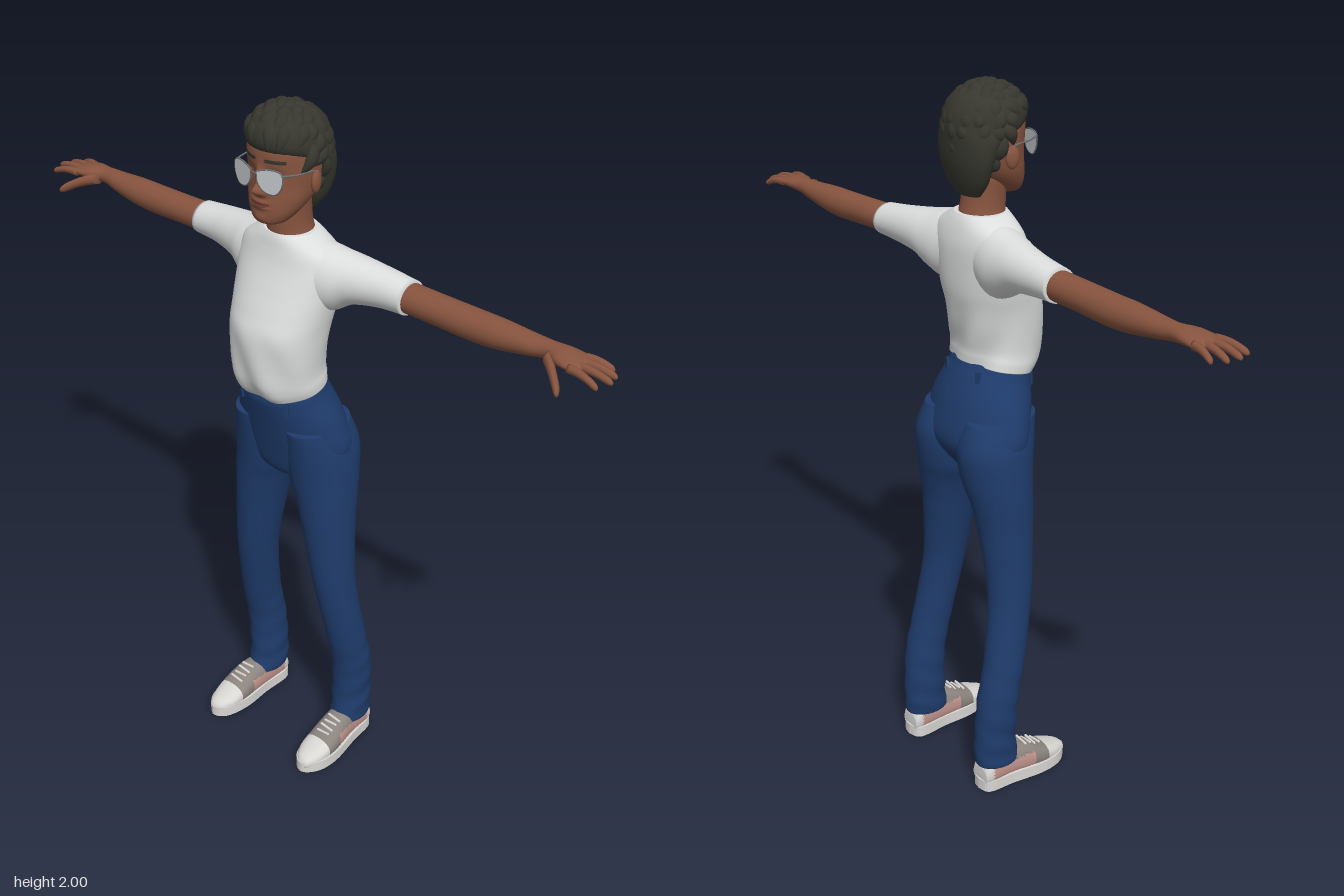
import * as THREE from 'three';
import { mergeGeometries, mergeVertices } from 'three/addons/utils/BufferGeometryUtils.js';

const V = (x, y, z) => new THREE.Vector3(x, y, z);
const clamp = THREE.MathUtils.clamp;
const bump = (d, w) => Math.exp(-((d / w) ** 2));

const material = (name, color) => {
  const m = new THREE.MeshStandardMaterial({ color });
  m.name = name;
  return m;
};

// Smooth in-between row (Catmull-Rom) at position u of a list of rows
function sampleRow(rows, u) {
  const n = rows.length - 1, i = Math.min(Math.floor(u), n - 1), t = u - i;
  const [a, b, c, d] = [-1, 0, 1, 2].map((k) => rows[clamp(i + k, 0, n)]);
  return b.map((_, k) => b[k] + 0.5 * t * (c[k] - a[k] + t * (2 * a[k] - 5 * b[k] + 4 * c[k] - d[k]
    + t * (3 * (b[k] - c[k]) + d[k] - a[k]))));
}

// Closed skin over oval sections; row = [position on axis, min, max, min, max] of the other two axes
function loft(axis, rows, { segs = 32, steps = 6, power = 1, rule } = {}) {
  const pos = [], index = [], count = (rows.length - 1) * steps;
  const put = (t, a, b) => {
    const p = axis === 'y' ? V(a, t, b) : axis === 'x' ? V(t, a, b) : V(a, b, t);
    if (rule) rule(p);
    pos.push(p.x, p.y, p.z);
  };
  const bend = (v) => Math.sign(v) * Math.abs(v) ** power;
  for (let i = 0; i <= count; i++) {
    const [t, a0, a1, b0, b1] = sampleRow(rows, i / steps);
    for (let j = 0; j < segs; j++) {
      const q = (j / segs) * Math.PI * 2;
      put(t, (a0 + a1) / 2 + bend(Math.cos(q)) * (a1 - a0) / 2, (b0 + b1) / 2 + bend(Math.sin(q)) * (b1 - b0) / 2);
    }
  }
  for (const r of [rows[0], rows[rows.length - 1]]) put(r[0], (r[1] + r[2]) / 2, (r[3] + r[4]) / 2);
  const flip = (axis === 'y') !== (rows[0][0] > rows[rows.length - 1][0]);
  const tri = (a, b, c) => (flip ? index.push(a, c, b) : index.push(a, b, c));
  const end = (count + 1) * segs;
  for (let j = 0; j < segs; j++) {
    const k = (j + 1) % segs;
    for (let i = 0; i < count; i++) {
      const p = i * segs;
      tri(p + j, p + k, p + segs + j);
      tri(p + k, p + segs + k, p + segs + j);
    }
    tri(end, k, j);
    tri(end + 1, count * segs + j, count * segs + k);
  }
  const g = new THREE.BufferGeometry();
  g.setAttribute('position', new THREE.Float32BufferAttribute(pos, 3));
  g.setIndex(index);
  g.computeVertexNormals();
  return g;
}

// Sort triangles into material groups by their centre
function paint(g, count, pick) {
  const buckets = Array.from({ length: count }, () => []), p = g.attributes.position, ix = g.index.array;
  for (let i = 0; i < ix.length; i += 3) {
    const c = V(0, 0, 0), f = [ix[i], ix[i + 1], ix[i + 2]];
    f.forEach((v) => c.add(new THREE.Vector3().fromBufferAttribute(p, v)));
    buckets[pick(c.divideScalar(3))].push(...f);
  }
  g.setIndex(buckets.flat());
  let start = 0;
  buckets.forEach((b, m) => { g.addGroup(start, b.length, m); start += b.length; });
  return g;
}

function mirrored(source) {
  const g = source.index ? source.clone() : mergeVertices(source);
  g.scale(-1, 1, 1);
  const ix = g.index.array;
  for (let i = 0; i < ix.length; i += 3) [ix[i + 1], ix[i + 2]] = [ix[i + 2], ix[i + 1]];
  return g;
}

const tube = (points, r, closed = false) =>
  new THREE.TubeGeometry(new THREE.CatmullRomCurve3(points, closed), closed ? 40 : 12, r, 6, closed);
const sym = (rows) => rows.map(([y, rx, zb, zf]) => [y, -rx, rx, zb, zf]);

export function createModel() {
  const model = new THREE.Group();
  model.name = 'person';
  const skin = material('skin', 0x87543f), lip = material('lips', 0x6e3a32), hair = material('hair', 0x37372f);
  const white = material('shirt white', 0xdcdedd), denim = material('trouser navy', 0x1f3c6c);
  const lensGrey = material('lens silver', 0xc6cacd), metal = material('frame grey', 0x6d6f72);
  const rubber = material('shoe white', 0xd9d7d4), fabric = material('shoe grey', 0x8b837d), pink = material('shoe pink', 0xc2968e);
  const add = (name, g, mat) => {
    const m = new THREE.Mesh(g, mat);
    m.name = name;
    model.add(m);
  };
  const pair = (name, g, mat) => {
    add('left' + name, g, mat);
    add('right' + name, mirrored(g), mat);
  };

  // The waist dips toward the front
  const tilt = (p) => { p.y -= 0.23 * (p.z - 0.03) * clamp(1 - Math.abs(p.y - 1.236) / 0.12, 0, 1); };

  // Shirt
  add('shirt', loft('y', sym([
    [1.236, 0.127, -0.067, 0.121], [1.26, 0.128, -0.067, 0.138], [1.3, 0.126, -0.068, 0.15], [1.4, 0.134, -0.085, 0.155],
    [1.46, 0.142, -0.096, 0.135], [1.52, 0.15, -0.1, 0.108], [1.58, 0.155, -0.1, 0.082], [1.62, 0.142, -0.093, 0.07],
    [1.648, 0.1, -0.084, 0.064], [1.664, 0.069, -0.075, 0.058]]), {
    segs: 56, power: 0.92, rule: (p) => {
      p.z += 0.005 * Math.sin(p.x * 55 + p.y * 24) * clamp((1.44 - p.y) / 0.12, 0, 1);
      tilt(p);
    } }), white);
  pair('Sleeve', loft('x', [
    [0.04, 1.47, 1.65, -0.085, 0.05], [0.1, 1.455, 1.646, -0.098, 0.055], [0.15, 1.472, 1.637, -0.101, 0.045],
    [0.2, 1.5, 1.629, -0.101, 0.024], [0.28, 1.514, 1.618, -0.1, 0.004], [0.356, 1.519, 1.608, -0.1, -0.002]]), white);

  // Arms, palms, fingers
  pair('Arm', loft('x', [
    [0.32, 1.525, 1.603, -0.093, -0.008], [0.45, 1.522, 1.6, -0.094, -0.011], [0.55, 1.518, 1.598, -0.096, -0.014],
    [0.62, 1.522, 1.597, -0.095, -0.017], [0.7, 1.535, 1.592, -0.09, -0.026], [0.755, 1.545, 1.59, -0.085, -0.034],
    [0.8, 1.55, 1.589, -0.093, -0.014], [0.845, 1.555, 1.58, -0.096, -0.008], [0.862, 1.56, 1.573, -0.088, -0.016]],
  { segs: 24 }), skin);
  const finger = (a, b, r) => loft('x', [0, 0.3, 0.6, 0.9, 1].map((t) => {
    const c = a.clone().lerp(b, t), k = r * (t === 1 ? 0.35 : 1 - 0.3 * t);
    c.y += 0.006 * Math.sin(t * Math.PI);
    return [c.x, c.y - k, c.y + k, c.z - k, c.z + k];
  }), { segs: 10, steps: 3 });
  const tips = [[0.905, 1.552, -0.1], [0.929, 1.554, -0.073], [0.937, 1.556, -0.04], [0.922, 1.553, -0.002]];
  pair('Fingers', mergeGeometries([
    ...tips.map((t, i) => finger(V(0.835, 1.567, -0.084 + i * 0.0225), V(...t), 0.0115)),
    finger(V(0.765, 1.562, -0.035), V(0.848, 1.527, 0.04), 0.017)]), skin);

  // Trousers
  add('trouserSeat', loft('y', sym([
    [0.935, 0.04, -0.05, 0.03], [0.965, 0.12, -0.09, 0.062], [1.04, 0.182, -0.135, 0.08], [1.13, 0.167, -0.12, 0.1],
    [1.2, 0.137, -0.088, 0.115], [1.225, 0.129, -0.073, 0.117], [1.25, 0.122, -0.06, 0.112]]), { segs: 48, rule: tilt }), denim);
  pair('TrouserLeg', loft('y', [
    [0.078, 0.12, 0.22, -0.154, -0.02], [0.09, 0.117, 0.222, -0.157, -0.02], [0.15, 0.115, 0.221, -0.158, -0.03],
    [0.28, 0.116, 0.226, -0.148, -0.026], [0.41, 0.112, 0.222, -0.12, 0.001], [0.6, 0.09, 0.207, -0.092, 0.037],
    [0.785, 0.053, 0.2, -0.102, 0.053], [0.88, 0.028, 0.198, -0.118, 0.06], [0.95, 0.002, 0.194, -0.135, 0.067],
    [1.04, -0.002, 0.185, -0.145, 0.079], [1.12, 0.02, 0.16, -0.118, 0.092]], {
    rule: (p) => {
      const k = clamp((0.5 - p.y) / 0.3, 0, 1) * clamp((p.y - 0.08) / 0.05, 0, 1);
      p.x += 0.003 * k * Math.sin(p.y * 75 + p.z * 30);
    } }), denim);
  const loop = (x, y, z, ry) => new THREE.BoxGeometry(0.012, 0.048, 0.008).rotateY(ry).translate(x, y, z);
  pair('BeltLoops', mergeGeometries([loop(0.08, 1.2, 0.098, 0.5), loop(0.065, 1.225, -0.072, -0.35)]), denim);

  // Shoes
  const outline = new THREE.SplineCurve([
    [0.168, -0.155], [0.205, -0.14], [0.215, -0.06], [0.231, 0.04], [0.222, 0.11], [0.185, 0.15],
    [0.145, 0.125], [0.128, 0.05], [0.132, -0.04], [0.132, -0.135], [0.168, -0.155]].map(([x, z]) => new THREE.Vector2(x, -z)));
  pair('Sole', new THREE.ExtrudeGeometry(new THREE.Shape(outline.getPoints(60)), { depth: 0.034, bevelEnabled: false })
    .rotateX(-Math.PI / 2), rubber);
  pair('ShoeUpper', paint(loft('z', [
    [-0.15, 0.14, 0.2, 0.02, 0.07], [-0.13, 0.133, 0.208, 0.01, 0.1], [-0.06, 0.132, 0.212, 0.01, 0.115],
    [0, 0.132, 0.222, 0.01, 0.105], [0.05, 0.132, 0.227, 0.01, 0.082], [0.1, 0.137, 0.221, 0.01, 0.062],
    [0.135, 0.155, 0.207, 0.01, 0.048], [0.147, 0.172, 0.195, 0.015, 0.035]], { power: 0.85 }), 3,
  (c) => (c.z > 0.07 || c.z < -0.125 ? 0 : c.y < 0.078 && c.z < 0.02 ? 2 : 1)), [rubber, fabric, pink]);
  pair('Laces', mergeGeometries([0, 1, 2, 3].map((i) => new THREE.CapsuleGeometry(0.004, 0.04, 3, 8)
    .rotateZ(Math.PI / 2 + (i % 2 ? 0.12 : -0.12)).translate(0.179, 0.106 - i * 0.007, -0.004 + i * 0.017))), rubber);

  // Neck and head, with nose, sockets, chin and mouth pushed from the surface
  add('neck', loft('y', sym([[1.62, 0.075, -0.075, 0.055], [1.66, 0.061, -0.068, 0.056],
    [1.7, 0.057, -0.06, 0.058], [1.76, 0.06, -0.055, 0.06]])), skin);
  add('head', paint(loft('y', sym([
    [1.702, 0.02, 0.05, 0.092], [1.71, 0.044, 0.03, 0.105], [1.735, 0.066, -0.01, 0.11], [1.77, 0.083, -0.05, 0.107],
    [1.81, 0.091, -0.08, 0.103], [1.85, 0.095, -0.09, 0.105], [1.9, 0.094, -0.09, 0.104], [1.945, 0.075, -0.07, 0.08],
    [1.97, 0.03, -0.03, 0.03]]), {
    segs: 112, steps: 11, power: 0.95, rule: (p) => {
      if (p.z < 0.05) return;
      const ax = Math.abs(p.x), { x, y } = p;
      p.z += 0.026 * bump(x, 0.013) * bump(y - 1.797, 0.014) + 0.015 * bump(x, 0.011) * bump(y - 1.828, 0.026)
        + 0.008 * bump(ax - 0.014, 0.009) * bump(y - 1.79, 0.009) - 0.008 * bump(ax - 0.038, 0.02) * bump(y - 1.836, 0.014)
        + 0.006 * bump(x, 0.026) * (bump(y - 1.765, 0.005) + bump(y - 1.752, 0.006)) + 0.004 * bump(x, 0.02) * bump(y - 1.722, 0.012);
    } }), 3, ({ x, y, z }) => {
    const ax = Math.abs(x);
    if (z > 0.07 && ax < 0.029 && Math.abs(y - 1.757 - 5 * x * x) < 0.008 - 0.18 * ax) return 1;
    return z > 0.04 && ax > 0.014 && ax < 0.066 && Math.abs(y - 1.873 + 1.5 * (ax - 0.04) ** 2) < 0.005 ? 2 : 0;
  }), [skin, lip, hair]);
  pair('Ear', new THREE.SphereGeometry(1, 16, 12).scale(0.011, 0.03, 0.019).rotateY(0.25).translate(0.099, 1.815, 0.012), skin);

  // Hair: scalp shape covered with overlapping locks
  add('scalpHair', loft('y', sym([
    [1.713, 0.045, -0.072, -0.03], [1.75, 0.074, -0.088, -0.018], [1.8, 0.094, -0.102, -0.008], [1.855, 0.104, -0.107, 0.025],
    [1.89, 0.106, -0.108, 0.1], [1.93, 0.1, -0.1, 0.112], [1.965, 0.075, -0.075, 0.09], [1.988, 0.03, -0.025, 0.04]])), hair);
  let seed = 7;
  const rnd = () => ((seed = (seed * 16807) % 2147483647) / 2147483647) * 2 - 1;
  const locks = [];
  for (let el = 84; el > -50; el -= 17) {
    const e = THREE.MathUtils.degToRad(el), n = Math.max(4, Math.round(17 * Math.cos(e)));
    for (let i = 0; i < n; i++) {
      const az = ((i + (el % 2 ? 0.5 : 0) + 0.25 * rnd()) / n) * Math.PI * 2;
      const d = V(Math.cos(e) * Math.sin(az), Math.sin(e), Math.cos(e) * Math.cos(az));
      if ((d.z > 0.25 && d.y < 0.28) || (d.z > -0.25 && d.y < -0.1)) continue;
      const center = V(d.x * 0.106, 1.88 + d.y * (d.y > 0 ? 0.107 : 0.15), 0.01 + d.z * 0.111);
      const flow = V(0.55 * rnd() + 0.25, -1, d.z > -0.2 ? 0.7 : -0.3);
      flow.addScaledVector(d, -flow.dot(d)).normalize();
      const side = flow.clone().cross(d), len = 0.034 + 0.006 * rnd();
      const g = new THREE.SphereGeometry(1, 10, 10), p = g.attributes.position;
      for (let k = 0; k < p.count; k++) {
        const s = p.getY(k), w = 1 - 0.45 * Math.max(s, 0);
        p.setXYZ(k, p.getX(k) * 0.018 * w + 0.006 * s * s, s * len, p.getZ(k) * 0.012 * w - 0.009 * s * s);
      }
      g.computeVertexNormals();
      locks.push(g.applyMatrix4(new THREE.Matrix4().makeBasis(side, flow, d).setPosition(center)));
    }
  }
  add('hairLocks', mergeGeometries(locks), hair);

  // Glasses
  const rim = new THREE.SplineCurve([[-0.034, 0.02], [0, 0.029], [0.033, 0.024], [0.036, -0.005], [0.018, -0.031],
    [-0.012, -0.029], [-0.031, -0.008], [-0.034, 0.02]].map(([x, y]) => new THREE.Vector2(x, y))).getPoints(40);
  const place = (g) => g.rotateY(0.25).translate(0.042, 1.832, 0.117);
  pair('Lens', place(new THREE.ExtrudeGeometry(new THREE.Shape(rim), { depth: 0.003, bevelEnabled: false })), lensGrey);
  pair('LensRim', place(tube(rim.slice(0, -1).map((p) => V(p.x, p.y, 0.0015)), 0.0022, true)), metal);
  pair('GlassesTemple', tube([V(0.076, 1.85, 0.108), V(0.092, 1.848, 0.075), V(0.101, 1.843, 0.015), V(0.1, 1.828, -0.004)], 0.0025), metal);
  add('glassesBridge', tube([V(-0.009, 1.845, 0.126), V(0, 1.848, 0.13), V(0.009, 1.845, 0.126)], 0.0025), metal);
  return model;
}
